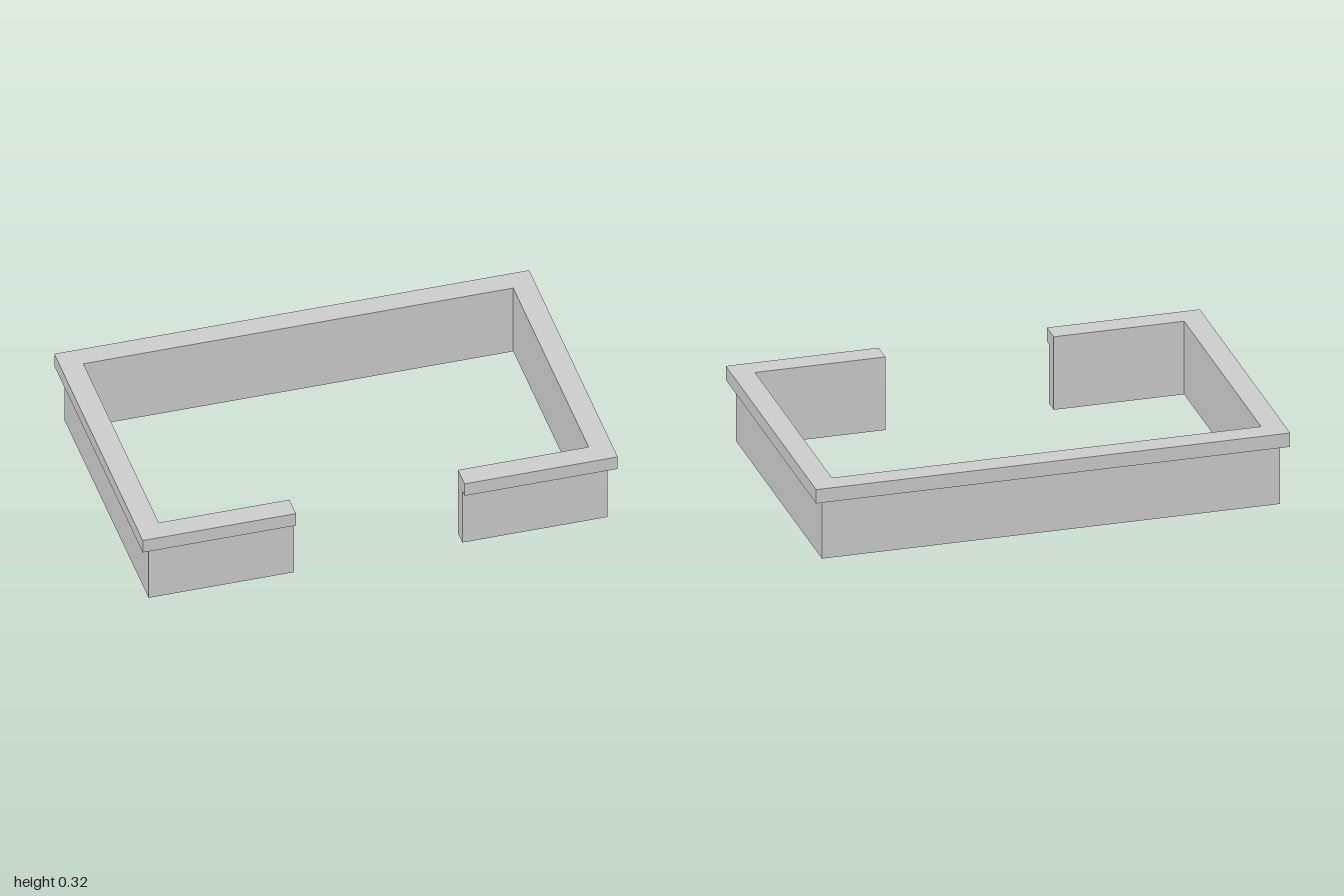
import * as THREE from 'three';

const INNER_X = 0.905, INNER_Z = 0.549, GAP = 0.355;

// C-shaped ring, open in the middle of the front, extruded upwards
function openRing(name, outerX, outerZ, bottom, top, material) {
  const right = [
    [GAP, -outerZ], [outerX, -outerZ], [outerX, outerZ],
  ];
  const inner = [
    [INNER_X, INNER_Z], [INNER_X, -INNER_Z], [GAP, -INNER_Z],
  ];
  const mirror = (pts) => pts.map(([x, y]) => [-x, y]).reverse();
  const outline = [...right, ...mirror(right), ...mirror(inner), ...inner];
  const shape = new THREE.Shape(outline.map(([x, y]) => new THREE.Vector2(x, y)));
  const geometry = new THREE.ExtrudeGeometry(shape, { depth: top - bottom, bevelEnabled: false });
  geometry.rotateX(-Math.PI / 2);
  geometry.translate(0, bottom, 0);
  const mesh = new THREE.Mesh(geometry, material);
  mesh.name = name;
  return mesh;
}

export function createModel() {
  const group = new THREE.Group();
  group.name = 'parapetWall';
  const material = new THREE.MeshStandardMaterial({ color: 0xcccccc });
  // Wall and its coping: flush inside, coping overhangs outside
  group.add(openRing('wall', 0.966, 0.613, 0, 0.262, material));
  group.add(openRing('coping', 1, 0.645, 0.262, 0.323, material));
  return group;
}
